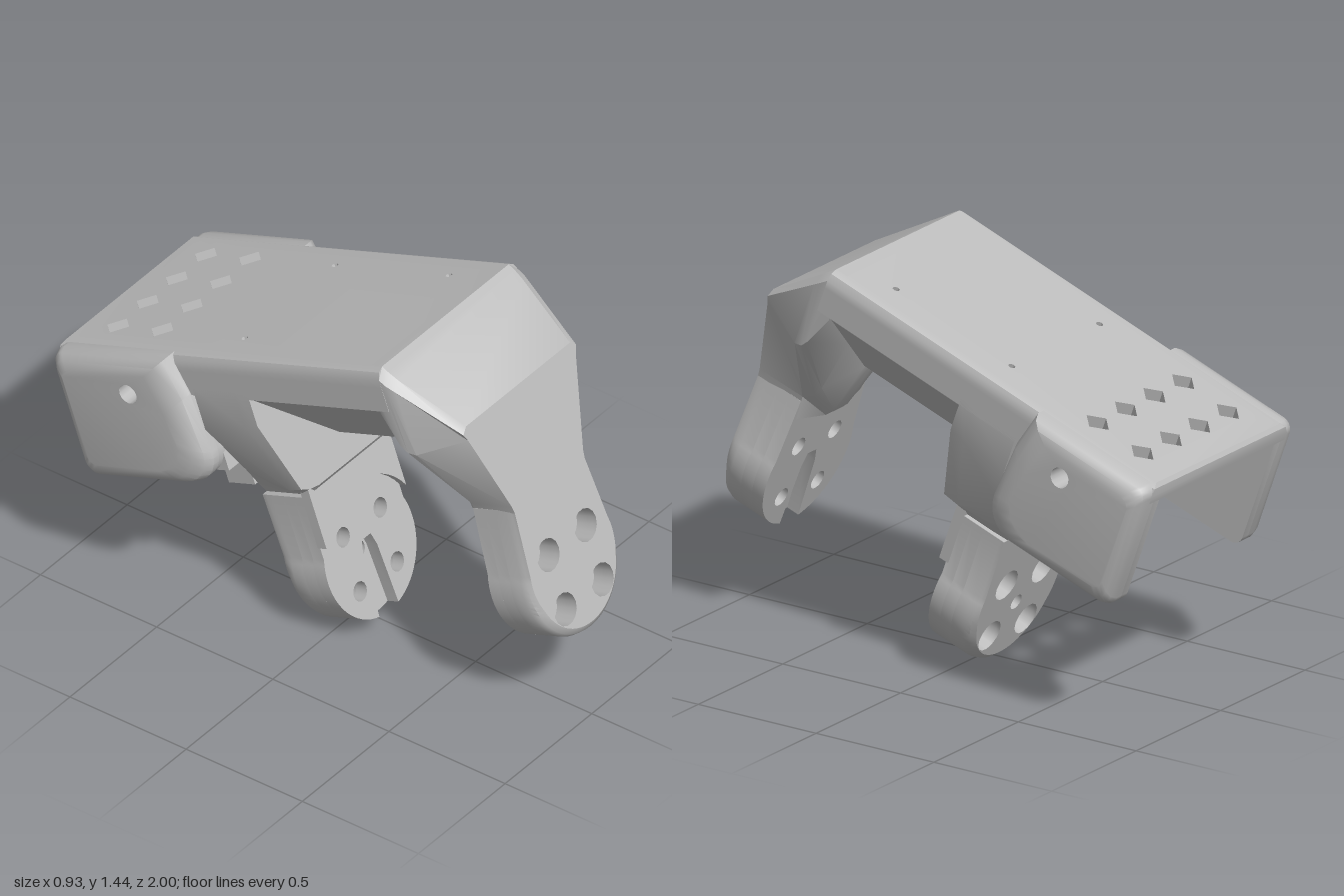
import * as THREE from 'three';
import { toCreasedNormals } from 'three/addons/utils/BufferGeometryUtils.js';

const grey = new THREE.MeshStandardMaterial({ color: 0xbcbcbc });
grey.name = 'grey plastic';

const rad = THREE.MathUtils.degToRad;

// Solid through matching counter-clockwise outlines [depth, points], with straight holes
function loft(sections, holes = []) {
  const v2 = (pts) => pts.map(([x, y]) => new THREE.Vector2(x, y));
  const pos = [];
  const put = (p, d) => pos.push(p[0], p[1], d);
  const wall = (a, da, b, db) => a.forEach((p, i) => {
    const j = (i + 1) % a.length;
    put(p, da); put(a[j], da); put(b[j], db);
    put(p, da); put(b[j], db); put(b[i], db);
  });
  for (let s = 0; s + 1 < sections.length; s++) {
    const [da, a] = sections[s], [db, b] = sections[s + 1];
    wall(a, da, b, db);
    holes.forEach((h) => wall(h, da, h, db));
  }
  [sections[0], sections[sections.length - 1]].forEach(([d, pts], end) => {
    const all = [...pts, ...holes.flat()];
    for (const f of THREE.ShapeUtils.triangulateShape(v2(pts), holes.map(v2))) {
      (end ? f : [f[2], f[1], f[0]]).forEach((i) => put(all[i], d));
    }
  });
  const g = new THREE.BufferGeometry();
  g.setAttribute('position', new THREE.Float32BufferAttribute(pos, 3));
  return g;
}

function part(name, geometry) {
  const m = new THREE.Mesh(toCreasedNormals(geometry, rad(32)), grey);
  m.name = name;
  return m;
}

function arc(cx, cy, r, from, to, n) {
  return Array.from({ length: n + 1 }, (_, i) => {
    const t = rad(from + (to - from) * i / n);
    return [cx + r * Math.cos(t), cy + r * Math.sin(t)];
  });
}
// Clockwise ring for a hole
const hole = (cx, cy, r, n = 14) => arc(cx, cy, r, 0, -360, n).slice(0, n);

// Right half of an outline, bottom to top, mirrored to a full outline
const mirror = (half) => [...half, ...half.map(([x, y]) => [-x, y]).reverse()];

// Round-ended leg; inner face at z = 0, outer face at z = 0.19
const legY = 0.25;
function leg(name, neck, centreHole) {
  const g = new THREE.Group();
  g.name = name;
  const R = 0.243, p = 0.107;
  const top = [[neck, 0.58], [-neck, 0.58]];
  // The rounded rim fades out towards the neck
  const outline = (inset) => [
    ...arc(0, legY, R, -200, 20, 40).map(([x, y]) => {
      const k = 1 - inset / R * THREE.MathUtils.clamp((0.38 - y) / 0.2, 0, 1);
      return [x * k, legY + (y - legY) * k];
    }), ...top,
  ];
  const grooved = [
    ...arc(0, legY, R, -200, -103, 18), [-0.04, 0.25], [-0.025, 0.3],
    [0.025, 0.3], [0.04, 0.25], ...arc(0, legY, R, -77, 20, 18), ...top,
  ];
  const bolts = (r) => [-p, p].flatMap((x) => [-p, p].map((y) => hole(x, legY + y, r)));
  const centre = hole(0, legY, 0.03);
  const back = centreHole ? [centre] : [];
  g.add(part('grooved inner face', loft([[0, grooved], [0.05, grooved]], bolts(0.036))));
  g.add(part('bolt seat', loft([[0.05, outline(0)], [0.1, outline(0)]], [...bolts(0.036), centre])));
  g.add(part('outer face', loft(
    [[0.1, outline(0)], [0.15, outline(0)], [0.175, outline(0.01)], [0.19, outline(0.03)]],
    [...bolts(0.06), ...back])));
  return g;
}

export function createModel() {
  const model = new THREE.Group();
  model.name = 'joint bracket';
  const body = new THREE.Group();
  body.name = 'tilted body';
  body.rotation.x = rad(-20);
  model.add(body);

  // Roof with two rows of diamond slots and three pin holes (outline is x, -z)
  const roof = (ix, iz) => [[-0.4 + ix, -0.84], [0.4 - ix, -0.84], [0.4 - ix, 0.626 - iz], [-0.4 + ix, 0.626 - iz]];
  const slotX = [-0.25, -0.08, 0.088, 0.256];
  const slots = [0.258, 0.46].flatMap((w) => slotX.map((x) => hole(x, w, 0.05, 4)));
  const pins = [[-0.26, -0.127], [0.26, -0.127], [0.26, -0.649]].map(([x, y]) => hole(x, y, 0.013, 8));
  body.add(part('roof', loft(
    [[1.16, roof(0, 0)], [1.19, roof(0, 0)], [1.215, roof(0.012, 0.006)], [1.227, roof(0.035, 0.02)]],
    [...slots, ...pins]).rotateX(-Math.PI / 2)));

  // Thick side lips below the roof
  const lip = mirror([[0.4, 1.065], [0.4, 1.16]]);
  body.add(part('roofLip', loft([[-0.1, lip], [0.84, lip]])));

  // V-shaped core between the legs, with deeply undercut sides
  const core = mirror([[0.03, 0.735], [0.395, 1.066]]);
  body.add(part('core', loft([[0.1, core], [0.83, core]])));

  // Tapered nose that flares from the front leg, with a V-shaped gusset behind
  body.add(part('nose', loft([
    [0.79, mirror([[0.03, 0.73], [0.2, 0.885], [0.39, 1.05], [0.4, 1.19], [0.365, 1.227]])],
    [0.84, mirror([[0.04, 0.52], [0.18, 0.66], [0.395, 0.93], [0.4, 1.19], [0.365, 1.227]])],
    [0.86, mirror([[0.05, 0.49], [0.18, 0.62], [0.39, 0.9], [0.4, 1.17], [0.365, 1.206]])],
    [0.89, mirror([[0.19, 0.5], [0.2, 0.6], [0.385, 0.89], [0.39, 1.14], [0.36, 1.173]])],
    [1.08, mirror([[0.2, 0.566], [0.205, 0.6], [0.31, 0.92], [0.325, 0.95], [0.3, 0.972]])],
  ])));

  // Shoulder that flares from the back leg into the roof
  body.add(part('shoulder', loft([
    [-0.05, mirror([[0.2, 0.57], [0.23, 0.62], [0.27, 0.7], [0.4, 0.93], [0.4, 1.1]])],
    [0.14, mirror([[0.2, 0.57], [0.23, 0.6], [0.285, 0.64], [0.4, 0.95], [0.4, 1.1]])],
    [0.2, mirror([[0.2, 0.62], [0.25, 0.63], [0.29, 0.65], [0.4, 0.96], [0.4, 1.1]])],
  ])));

  // Raised pad on the back leg, cut by an arc around the disc
  const pad = [...arc(0, legY, 0.264, 150.5, 29.5, 16), [0.23, 0.65], [-0.23, 0.65]];
  body.add(part('backLegPad', loft([[0.13, pad], [0.17, pad]])));

  // Ribbed wall with V grooves in line with the slots, narrower below (outline is x, -z)
  const zigzag = [[0.35, 0.24]];
  [...slotX].reverse().forEach((x) => zigzag.push([x + 0.075, 0.24], [x, 0.17], [x - 0.075, 0.24]));
  zigzag.push([-0.35, 0.24], [-0.35, 0.05], [-0.25, 0.05], [0.25, 0.05], [0.35, 0.05]);
  const narrow = zigzag.filter(([x]) => Math.abs(x) < 0.26);
  body.add(part('ribbedWall', loft([[0.74, zigzag], [1.16, zigzag]]).rotateX(-Math.PI / 2)));
  body.add(part('ribbedWallFoot', loft([[0.63, narrow], [0.74, narrow]]).rotateX(-Math.PI / 2)));

  // Rounded hood walls at the back, swept in at the front (outline is -z, y)
  const cheek = (i) => {
    const front = 0.045 + i * 1.6, rear = 0.625 - i * 0.7, low = 0.725 + i, high = 1.222 - i;
    return [
      ...arc(front + 0.12, low + 0.12, 0.12, 180, 270, 7), ...arc(rear - 0.04, low + 0.04, 0.04, 270, 360, 5),
      ...arc(rear - 0.04, high - 0.04, 0.04, 0, 90, 5), [front + 0.06, high], [front + 0.02, high - 0.15],
    ];
  };
  // Each wall has a wide screw recess outside and a small hole inside
  const inner = [[0.34, 0], [0.375, 0]];
  const outer = [[0.375, 0], [0.405, 0], [0.435, 0.01], [0.455, 0.03], [0.465, 0.06]];
  for (const side of [1, -1]) {
    const wall = new THREE.Group();
    wall.name = side > 0 ? 'leftHoodWall' : 'rightHoodWall';
    [['inner skin', inner, 0.014], ['outer skin', outer, 0.038]].forEach(([name, steps, r]) => {
      const sections = steps.map(([x, i]) => [side * x, cheek(i)]);
      if (side < 0) sections.reverse();
      wall.add(part(name, loft(sections, [hole(0.296, 1.087, r)]).rotateY(Math.PI / 2)));
    });
    body.add(wall);
  }

  // Legs, with their grooved faces toward each other
  const frontLeg = leg('frontLeg', 0.2, false);
  frontLeg.position.z = 0.89;
  const backLeg = leg('backLeg', 0.23, true);
  backLeg.rotation.y = Math.PI;
  backLeg.position.z = 0.14;
  body.add(frontLeg, backLeg);

  return model;
}
